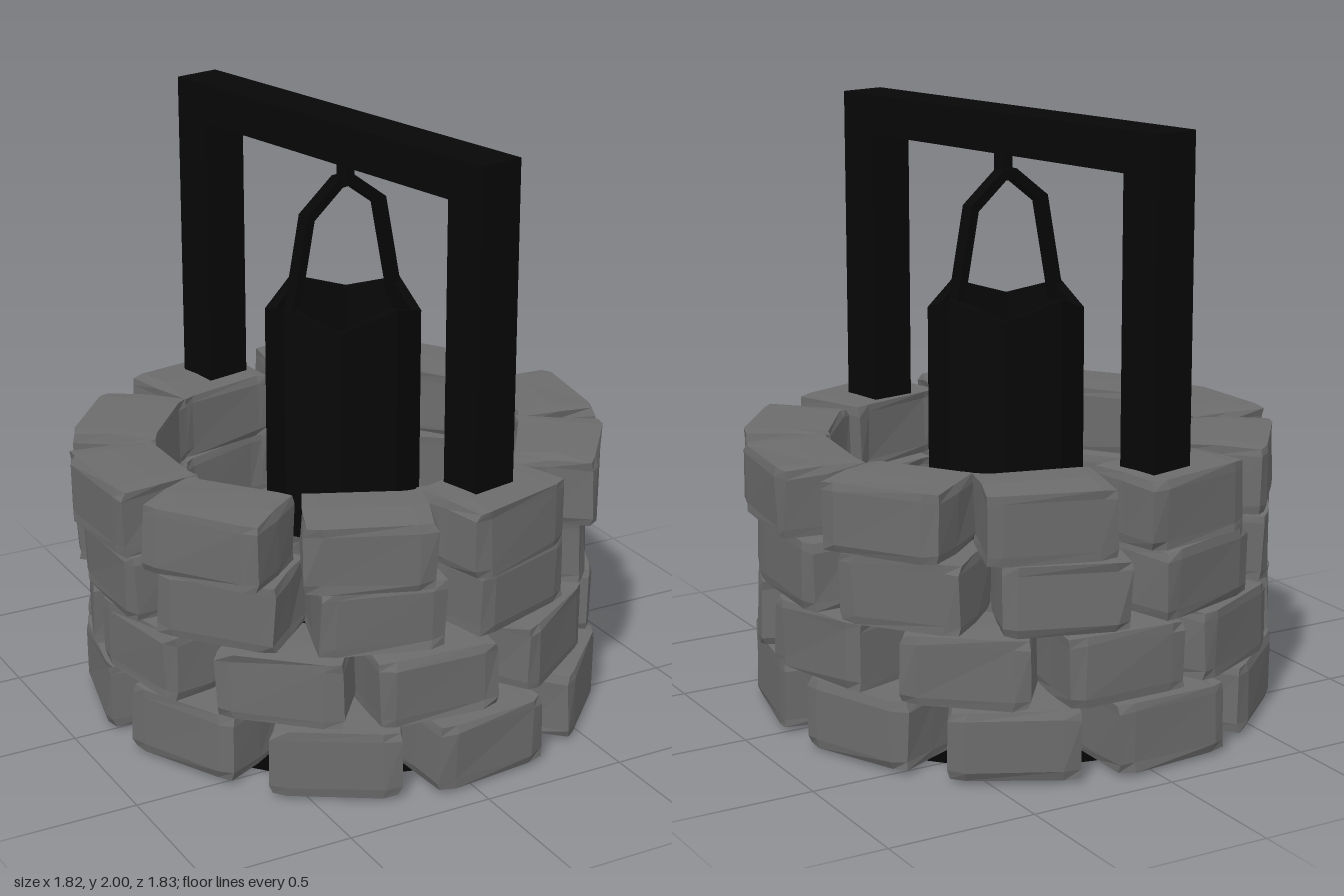
import * as THREE from 'three';

const stoneGrey = new THREE.MeshStandardMaterial({ color: 0x6c6c6c });
const darkTimber = new THREE.MeshStandardMaterial({ color: 0x070707 });
const deepBlack = new THREE.MeshStandardMaterial({ color: 0x040404, side: THREE.DoubleSide });

// Repeatable noise in -1..1
function noise(a, b, c, seed) {
  const s = Math.sin(a * 12.9 + b * 78.2 + c * 37.7 + seed * 4.13) * 43758.5;
  return (s - Math.floor(s)) * 2 - 1;
}

function flat(geometry) {
  const g = geometry.toNonIndexed();
  g.computeVertexNormals();
  return g;
}

function addMesh(parent, name, geometry, material) {
  const mesh = new THREE.Mesh(geometry, material);
  mesh.name = name;
  parent.add(mesh);
  return mesh;
}

function addBox(parent, name, size, position, material) {
  const mesh = addMesh(parent, name, new THREE.BoxGeometry(...size), material);
  mesh.position.set(...position);
  return mesh;
}

// Rough block: worn corners, slightly bent around the ring
function stoneGeometry(seed) {
  const w = 0.213, h = 0.121, d = 0.147;
  const g = new THREE.BoxGeometry(2, 2, 2, 3, 3, 2);
  const p = g.attributes.position;
  for (let i = 0; i < p.count; i++) {
    const spread = (t) => (Math.abs(t) > 0.9 ? Math.sign(t) : Math.sign(Math.round(t * 3)) * 0.75);
    const u = spread(p.getX(i)), v = spread(p.getY(i)), z0 = Math.round(p.getZ(i));
    const j = (k) => 0.007 * noise(u, v, z0, seed + k);
    const taper = 0.96 + 0.04 * z0;
    const x = w * u * taper * (1 - 0.05 * v * v) + j(1);
    const y = h * v * (1 - 0.06 * u * u - 0.03 * z0 * z0) + 0.5 * j(2);
    const z = d * z0 * (1 - 0.06 * v * v) - 0.03 * u * u + j(3);
    p.setXYZ(i, x, y, z);
  }
  return flat(g);
}

// Four staggered, slightly oval courses of ten stones
function buildWall() {
  const wall = new THREE.Group();
  wall.name = 'stoneWall';
  const courses = [
    { start: 6, rx: 0.725, rz: 0.772, z: 0 },
    { start: -6, rx: 0.72, rz: 0.745, z: -0.01 },
    { start: 18, rx: 0.74, rz: 0.7, z: -0.025 },
    { start: 15, rx: 0.775, rz: 0.715, z: 0 },
  ];
  courses.forEach(({ start, rx, rz, z }, row) => {
    for (let i = 0; i < 10; i++) {
      const seed = row * 10 + i + 1;
      const angle = THREE.MathUtils.degToRad(start + i * 36 + noise(1, 2, 3, seed));
      const push = 0.008 * noise(3, 1, 2, seed);
      const stone = addMesh(wall, 'stone', stoneGeometry(seed), stoneGrey);
      stone.position.set(Math.sin(angle) * (rx + push), 0.127 + row * 0.23, z + Math.cos(angle) * (rz + push));
      stone.rotation.y = angle + 0.06 * noise(2, 3, 1, seed);
    }
  });
  return wall;
}

// Hollow eight-sided bucket whose rim dips at every other corner
function bucketGeometry() {
  const profile = [[0, 0.6], [0.26, 0.6], [0.26, 1.4], [0.225, 1.4], [0.225, 0.66], [0, 0.66]];
  const g = new THREE.LatheGeometry(profile.map(([x, y]) => new THREE.Vector2(x, y)), 8);
  const p = g.attributes.position;
  for (let i = 0; i < p.count; i++) {
    const corner = Math.round(Math.atan2(p.getX(i), p.getZ(i)) / (Math.PI / 4));
    if (p.getY(i) > 1.3 && corner % 2 !== 0) p.setY(i, 1.34);
  }
  return flat(g);
}

// Square bar between two points of the handle, in its own plane
function addBar(parent, a, b) {
  const dx = b[0] - a[0], dy = b[1] - a[1];
  const bar = addBox(parent, 'handleBar', [0.035, Math.hypot(dx, dy) + 0.015, 0.042],
    [(a[0] + b[0]) / 2, (a[1] + b[1]) / 2, 0], darkTimber);
  bar.rotation.z = -Math.atan2(dx, dy);
}

export function createModel() {
  const model = new THREE.Group();
  model.name = 'well';
  model.add(buildWall());

  // Dark floor under the ring
  const floor = addMesh(model, 'wellFloor', new THREE.CircleGeometry(0.735, 40), deepBlack);
  floor.rotation.x = Math.PI / 2;

  // Timber frame standing on the wall
  const frame = new THREE.Group();
  frame.name = 'frame';
  frame.position.set(0.016, 0, -0.025);
  frame.rotation.y = 0.213;
  addBox(frame, 'beam', [0.162, 0.135, 1.51], [0, 1.9325, 0], darkTimber);
  for (const side of [-1, 1]) {
    addBox(frame, 'post', [0.162, 0.95, 0.15], [0, 1.395, side * 0.68], darkTimber);
  }
  model.add(frame);

  // Bucket hanging from the beam
  const bucket = new THREE.Group();
  bucket.name = 'hangingBucket';
  bucket.position.set(0.02, 0, -0.008);
  bucket.rotation.y = 0.25;
  addMesh(bucket, 'bucket', bucketGeometry(), darkTimber);
  addBox(bucket, 'hook', [0.04, 0.1, 0.045], [0, 1.835, 0.012], darkTimber);
  for (const side of [-1, 1]) {
    const path = [[0, 1.785], [0.025, 1.785], [0.16, 1.69], [0.237, 1.34]].map(([x, y]) => [x * side, y]);
    for (let i = 0; i < path.length - 1; i++) addBar(bucket, path[i], path[i + 1]);
  }
  model.add(bucket);
  return model;
}
